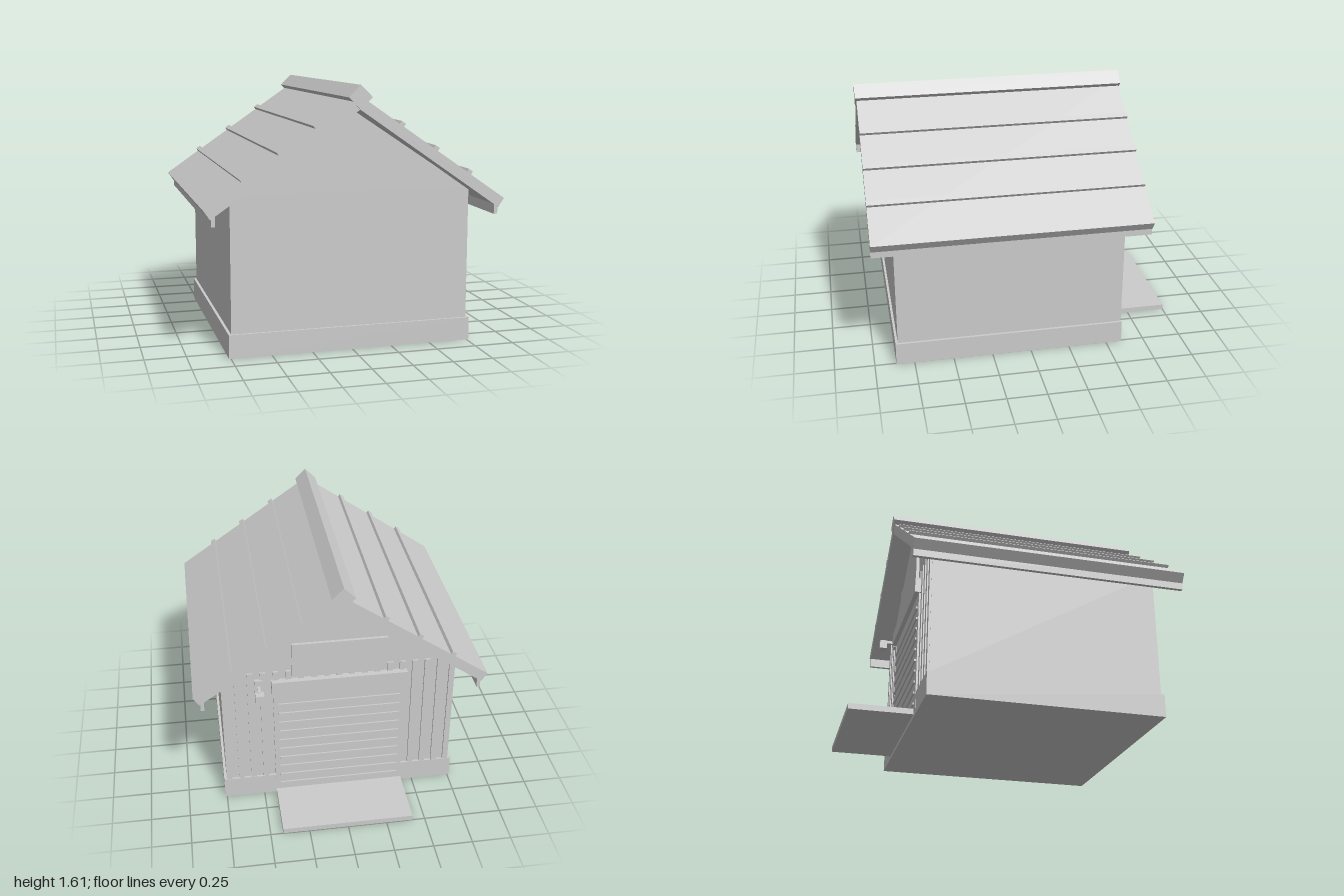
import * as THREE from 'three';

const material = new THREE.MeshStandardMaterial({ color: 0xcccccc, flatShading: true });

export function createModel() {
  const model = new THREE.Group();
  model.name = 'shed';

  const add = (name, geometry, parent = model) => {
    const mesh = new THREE.Mesh(geometry, material);
    mesh.name = name;
    parent.add(mesh);
    return mesh;
  };
  // Box given by its limits on each axis
  const box = (name, x0, x1, y0, y1, z0, z1, parent) => {
    const mesh = add(name, new THREE.BoxGeometry(x1 - x0, y1 - y0, z1 - z0), parent);
    mesh.position.set((x0 + x1) / 2, (y0 + y1) / 2, (z0 + z1) / 2);
    return mesh;
  };
  // Outline in x and y, pulled from z0 to z1
  const prism = (name, points, z0, z1, parent) => {
    const shape = new THREE.Shape(points.map(([x, y]) => new THREE.Vector2(x, y)));
    const geometry = new THREE.ExtrudeGeometry(shape, { depth: z1 - z0, bevelEnabled: false });
    return add(name, geometry.translate(0, 0, z0), parent);
  };

  // Foundation, walls and gable
  box('foundation', -0.762, 0.762, 0, 0.145, -0.6, 0.865);
  box('walls', -0.745, 0.745, 0.145, 0.97, -0.585, 0.85);
  prism('gable', [[-0.73, 0.97], [0.73, 0.97], [0, 1.455]], -0.585, 0.85);

  // Roof: two slopes with seams and a drip edge, meeting under a square ridge bar
  const slope = 0.687;
  const angle = Math.atan(slope);
  const roofTop = (x) => 1.547 - Math.abs(x) * slope;
  for (const side of [1, -1]) {
    const half = new THREE.Group();
    half.name = side > 0 ? 'leftRoof' : 'rightRoof';
    model.add(half);
    const outline = [[0, 1.467], [0.881, 0.861], [0.918, 0.915], [0, 1.547]];
    if (side < 0) outline.reverse();
    prism('roofSlab', outline.map(([x, y]) => [x * side, y]), -0.725, 0.99, half);
    for (const x of [0.255, 0.47, 0.685]) {
      const seam = box('roofSeam', -0.016, 0.016, -0.02, 0.02, -0.725, 0.99, half);
      seam.position.x = side * x;
      seam.position.y = roofTop(x);
      seam.rotation.z = -side * angle;
    }
    const drip = box('dripEdge', 0.853, 0.876, 0.82, 0.89, -0.725, 0.99, half);
    drip.position.x *= side;
  }
  prism('ridgeBar', [[0, 1.468], [0.072, 1.539], [0, 1.61], [-0.072, 1.539]], -0.73, 1);

  // Vertical cladding strips on the back wall
  const strips = 19;
  for (let i = 0; i < strips; i++) {
    const x = -0.725 + (1.45 * i) / (strips - 1);
    box('claddingStrip', x - 0.018, x + 0.018, 0.145, 0.97, -0.598, -0.58);
  }

  // Roller door with ribs, header and ramp
  const door = new THREE.Group();
  door.name = 'rollerDoor';
  model.add(door);
  box('doorPanel', -0.42, 0.42, 0.035, 0.815, -0.602, -0.58, door);
  for (let i = 0; i < 10; i++) {
    const y = 0.08 + i * 0.0715;
    box('doorRib', -0.39, 0.39, y - 0.007, y + 0.007, -0.612, -0.6, door);
  }
  box('doorHeader', -0.43, 0.43, 0.815, 0.91, -0.63, -0.58, door);
  box('ramp', -0.42, 0.42, 0, 0.035, -1, -0.61);

  // Blank panel above the door
  box('gablePanel', -0.3, 0.3, 0.925, 1.165, -0.605, -0.58);

  // Wall lamp beside the door
  const lamp = new THREE.Group();
  lamp.name = 'wallLamp';
  model.add(lamp);
  box('lampPlate', 0.485, 0.535, 0.83, 0.92, -0.608, -0.58, lamp);
  box('lampArm', 0.5, 0.52, 0.86, 0.88, -0.67, -0.6, lamp);
  box('lampHead', 0.483, 0.537, 0.815, 0.875, -0.71, -0.66, lamp);

  return model;
}
